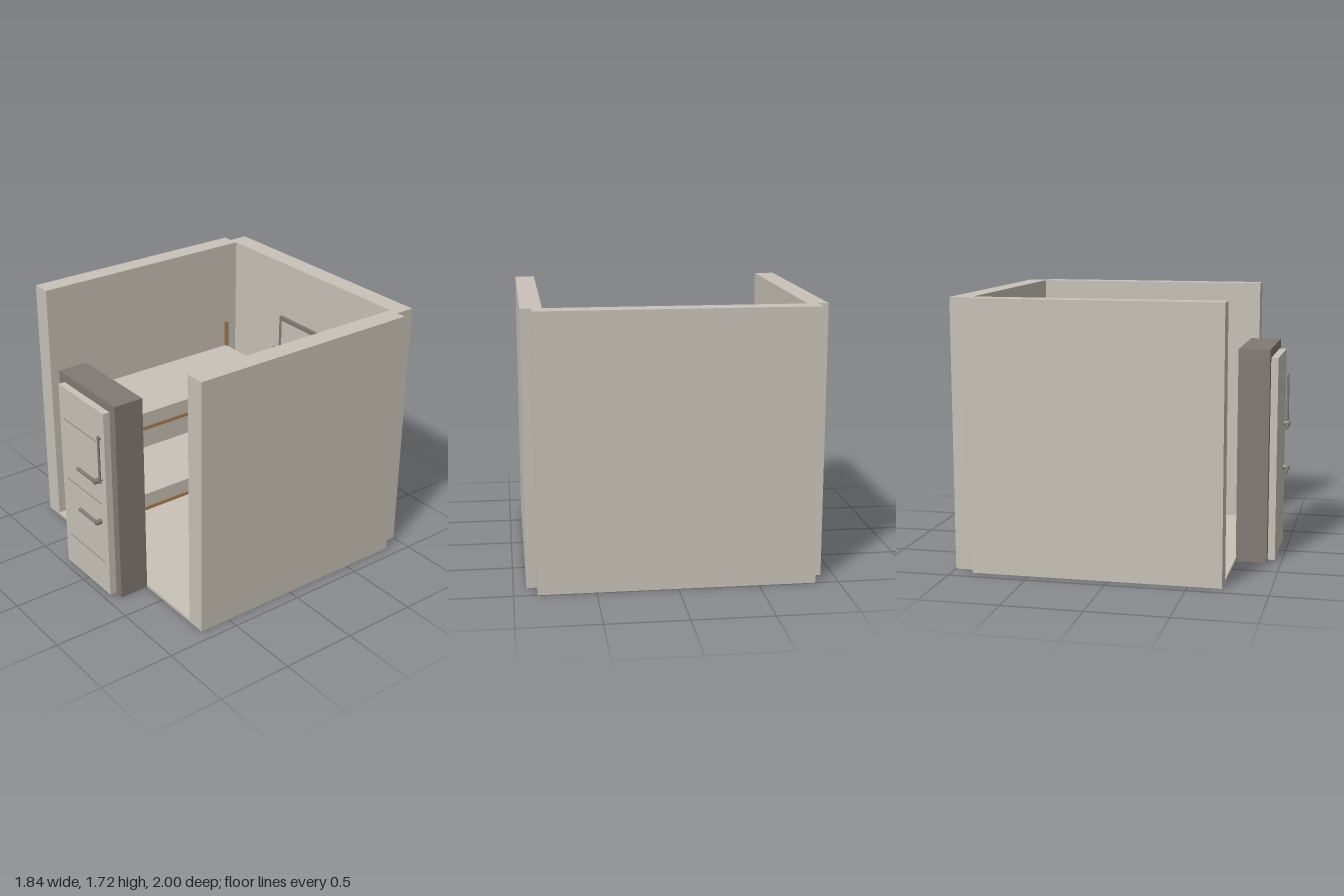
import * as THREE from 'three';

export function createModel() {
  const root = new THREE.Group();
  root.name = 'bunkRoom';
  const mat = (name, color) => {
    const m = new THREE.MeshStandardMaterial({ color });
    m.name = name;
    return m;
  };
  const stone = mat('pale stone', 0xc8c2b7);
  const steel = mat('dark steel', 0x807a73);
  const wood = mat('wood', 0xa5825a);

  // Box given by its limits on each axis
  const box = (name, material, x0, x1, y0, y1, z0, z1, parent = root) => {
    const m = new THREE.Mesh(new THREE.BoxGeometry(x1 - x0, y1 - y0, z1 - z0), material);
    m.position.set((x0 + x1) / 2, (y0 + y1) / 2, (z0 + z1) / 2);
    m.name = name;
    parent.add(m);
    return m;
  };
  // Cylinder centred at a point, along the chosen axis
  const rod = (name, material, r, len, axis, x, y, z, parent = root, sides = 12) => {
    const g = new THREE.CylinderGeometry(r, r, len, sides);
    if (axis === 'x') g.rotateZ(Math.PI / 2);
    if (axis === 'z') g.rotateX(Math.PI / 2);
    const m = new THREE.Mesh(g, material);
    m.position.set(x, y, z);
    m.name = name;
    parent.add(m);
  };
  const group = (name) => {
    const g = new THREE.Group();
    g.name = name;
    root.add(g);
    return g;
  };
  // Door-shaped or window-shaped surround, extruded along z
  const surround = (name, w, y0, y1, inner, innerY0, innerY1, z0, depth, parent) => {
    const s = new THREE.Shape();
    s.moveTo(-w, y0).lineTo(w, y0).lineTo(w, y1).lineTo(-w, y1).closePath();
    const h = new THREE.Path();
    h.moveTo(-inner, innerY0).lineTo(-inner, innerY1).lineTo(inner, innerY1).lineTo(inner, innerY0).closePath();
    s.holes.push(h);
    const m = new THREE.Mesh(new THREE.ExtrudeGeometry(s, { depth, bevelEnabled: false }), steel);
    m.position.z = z0;
    m.name = name;
    parent.add(m);
  };

  // Room shell, open at the front and top
  box('floor', stone, -0.79, 0.79, 0, 0.02, -0.87, 0.71);
  box('backWall', stone, -0.855, 0.855, 0, 1.72, -1, -0.87);
  box('rightWall', stone, -0.92, -0.79, 0, 1.72, -0.87, 0.71);
  box('leftWall', stone, 0.79, 0.92, 0, 1.72, -0.87, 0.71);

  // Front door: deep frame, leaf, seams and handles
  const door = group('frontDoor');
  box('frameRightPost', steel, -0.32, -0.26, 0, 1.32, 0.71, 0.91, door);
  box('frameLeftPost', steel, 0.26, 0.32, 0, 1.32, 0.71, 0.91, door);
  box('frameLintel', steel, -0.32, 0.32, 1.32, 1.38, 0.71, 0.91, door);
  box('doorLeaf', stone, -0.26, 0.26, 0.006, 1.322, 0.905, 0.956, door);
  for (const y of [0.235, 0.665, 1.095]) box('doorSeam', steel, -0.21, 0.21, y - 0.002, y + 0.002, 0.955, 0.958, door);
  for (const y of [0.53, 0.83]) {
    rod('handlePivot', steel, 0.018, 0.04, 'z', 0.183, y, 0.976, door);
    rod('handleLever', steel, 0.012, 0.205, 'x', 0.083, y, 0.988, door);
  }
  rod('pullBar', steel, 0.008, 0.33, 'y', 0.222, 0.995, 0.975, door);
  for (const y of [0.85, 1.14]) rod('pullBarMount', steel, 0.006, 0.025, 'z', 0.222, y, 0.964, door);

  // Inner door on the back wall
  const backDoor = group('backDoor');
  surround('backDoorFrame', 0.262, 0.02, 1.33, 0.23, 0.05, 1.3, -0.87, 0.02, backDoor);
  box('backDoorPanel', stone, -0.23, 0.23, 0.05, 1.3, -0.87, -0.845, backDoor);

  // Bunk bed: four posts, two rail rings with mattresses
  const bunk = group('bunkBed');
  for (const x of [-0.795, -0.227])
    for (const z of [-0.79, 0.463]) box('bunkPost', wood, x, x + 0.027, 0.02, 1.13, z, z + 0.027, bunk);
  for (const y of [0.2, 0.825]) {
    const top = y + 0.024;
    for (const x of [-0.79, -0.216]) box('sideRail', wood, x, x + 0.014, y, top, -0.785, 0.485, bunk);
    for (const z of [-0.787, 0.472]) box('endRail', wood, -0.785, -0.205, y, top, z, z + 0.014, bunk);
    box('mattress', stone, -0.776, -0.216, y + 0.003, y + 0.118, -0.773, 0.472, bunk);
  }

  // Two shelves, each with a row of canisters
  const shelves = group('shelves');
  for (const y of [0.33, 0.66]) {
    box('shelf', wood, 0.49, 0.755, y, y + 0.012, -0.64, -0.05, shelves);
    for (const z of [-0.56, -0.415, -0.27, -0.127])
      rod('canister', stone, 0.025, 0.2, 'y', 0.622, y + 0.112, z, shelves, 8);
  }
  return root;
}
